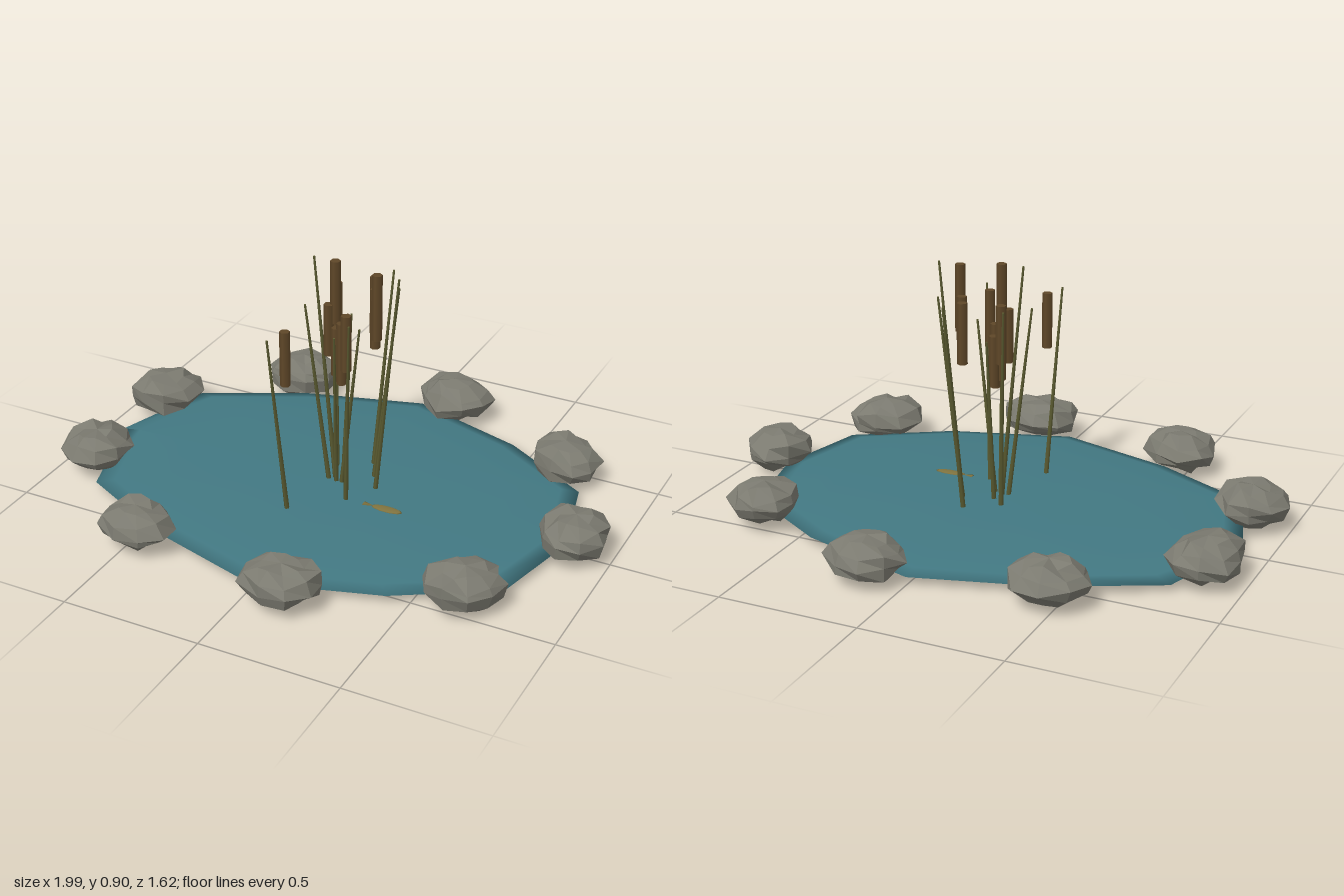
import * as THREE from 'three';
import { mergeVertices } from 'three/addons/utils/BufferGeometryUtils.js';

function material(name, color, flatShading = false) {
  const m = new THREE.MeshStandardMaterial({ color, flatShading });
  m.name = name;
  return m;
}

function seeded(seed) {
  return () => {
    seed = (seed * 16807) % 2147483647;
    return seed / 2147483647;
  };
}

// Flattened lens whose rim follows an irregular twelve-sided outline
function pondGeometry() {
  const half = [[-0.91, 0], [-0.79, 0.37], [-0.43, 0.55], [0, 0.675], [0.43, 0.54], [0.76, 0.34], [0.84, 0]];
  const geo = new THREE.SphereGeometry(1, 12, 8);
  const p = geo.attributes.position;
  for (let i = 0; i < p.count; i++) {
    const col = (i % 13) % 12;
    const [x, z] = half[col <= 6 ? col : 12 - col];
    const r = Math.hypot(p.getX(i), p.getZ(i));
    p.setXYZ(i, x * r, 0.03 + 0.03 * p.getY(i), (col <= 6 ? z : -z) * r);
  }
  geo.computeVertexNormals();
  return geo;
}

// Faceted boulder: a coarse sphere with every corner nudged
function stoneGeometry(rand) {
  let geo = new THREE.SphereGeometry(1, 9, 6);
  geo.deleteAttribute('uv');
  geo.deleteAttribute('normal');
  geo = mergeVertices(geo, 1e-3);
  const p = geo.attributes.position;
  for (let i = 0; i < p.count; i++) {
    const k = 0.86 + 0.26 * rand();
    const y = p.getY(i) + (rand() - 0.5) * 0.35;
    p.setXYZ(i, p.getX(i) * k * 0.122, THREE.MathUtils.clamp(y, -1, 1) * 0.073, p.getZ(i) * k * 0.142);
  }
  geo.computeVertexNormals();
  return geo;
}

export function createModel() {
  const model = new THREE.Group();
  model.name = 'pond';
  const water = material('water teal', 0x427882);
  const rock = material('stone grey', 0x7b7a70, true);
  const stemMat = material('reed green', 0x5a5a30);
  const headMat = material('cattail brown', 0x5f4728);
  const fishMat = material('fish ochre', 0x80733f);

  const add = (name, geo, mat, parent = model) => {
    const mesh = new THREE.Mesh(geo, mat);
    mesh.name = name;
    parent.add(mesh);
    return mesh;
  };

  add('water', pondGeometry(), water);

  // Ring of nine stones around the rim, long side along the shore
  const stones = new THREE.Group();
  stones.name = 'stones';
  model.add(stones);
  const rand = seeded(4217);
  const spots = [[0.872, 0], [0.665, 0.445], [0.13, 0.69], [-0.47, 0.605], [-0.865, 0.235],
    [-0.865, -0.235], [-0.47, -0.605], [0.13, -0.69], [0.665, -0.445]];
  spots.forEach(([x, z], i) => {
    const stone = add('stone', stoneGeometry(rand), rock, stones);
    stone.position.set(x, 0.09, z);
    stone.rotation.y = -i * Math.PI * 2 / 9;
  });

  // Reeds: base x, base z, tip x, tip z, head bottom, head top
  const reeds = new THREE.Group();
  reeds.name = 'reeds';
  model.add(reeds);
  const list = [
    [-0.085, 0.25, -0.105, 0.335, 0.535, 0.735],
    [0.07, 0.11, 0.115, 0.18, 0.56, 0.765],
    [0.05, -0.15, 0.085, -0.225, 0.58, 0.795],
    [0.09, -0.07, 0.16, -0.11, 0.57, 0.79],
    [-0.06, -0.08, -0.1, -0.15, 0.575, 0.78],
    [0.13, 0, 0.21, 0, 0.64, 0.88],
    [-0.015, -0.04, -0.02, -0.11, 0.475, 0.655],
    [-0.025, 0, -0.105, 0, 0.67, 0.9],
    [-0.045, 0.012, -0.115, 0.05, 0.55, 0.74],
    [0.005, 0.015, 0.08, 0.03, 0.45, 0.68],
    [-0.015, 0.015, 0.015, 0.09, 0.48, 0.66],
  ];
  const up = new THREE.Vector3(0, 1, 0);
  for (const [x, z, tx, tz, low, high] of list) {
    const base = new THREE.Vector3(x, 0.045, z);
    const tip = new THREE.Vector3(tx, high, tz);
    const dir = tip.clone().sub(base);
    const stem = add('reedStem', new THREE.CylinderGeometry(0.004, 0.009, dir.length(), 5), stemMat, reeds);
    stem.position.copy(base).lerp(tip, 0.5);
    stem.quaternion.setFromUnitVectors(up, dir.normalize());
    const head = add('cattailHead', new THREE.CylinderGeometry(0.018, 0.018, high - low, 6), headMat, reeds);
    head.position.set(x, (low + high) / 2, z);
  }

  // Fish showing at the water surface
  const fish = new THREE.Group();
  fish.name = 'fish';
  fish.position.set(0.225, 0.058, 0.108);
  model.add(fish);
  add('fishBody', new THREE.SphereGeometry(1, 10, 6), fishMat, fish).scale.set(0.06, 0.004, 0.02);
  const tail = add('fishTail', new THREE.ConeGeometry(0.015, 0.045, 4), fishMat, fish);
  tail.rotation.z = -Math.PI / 2;
  tail.scale.x = 0.25;
  tail.position.x = -0.065;

  return model;
}
